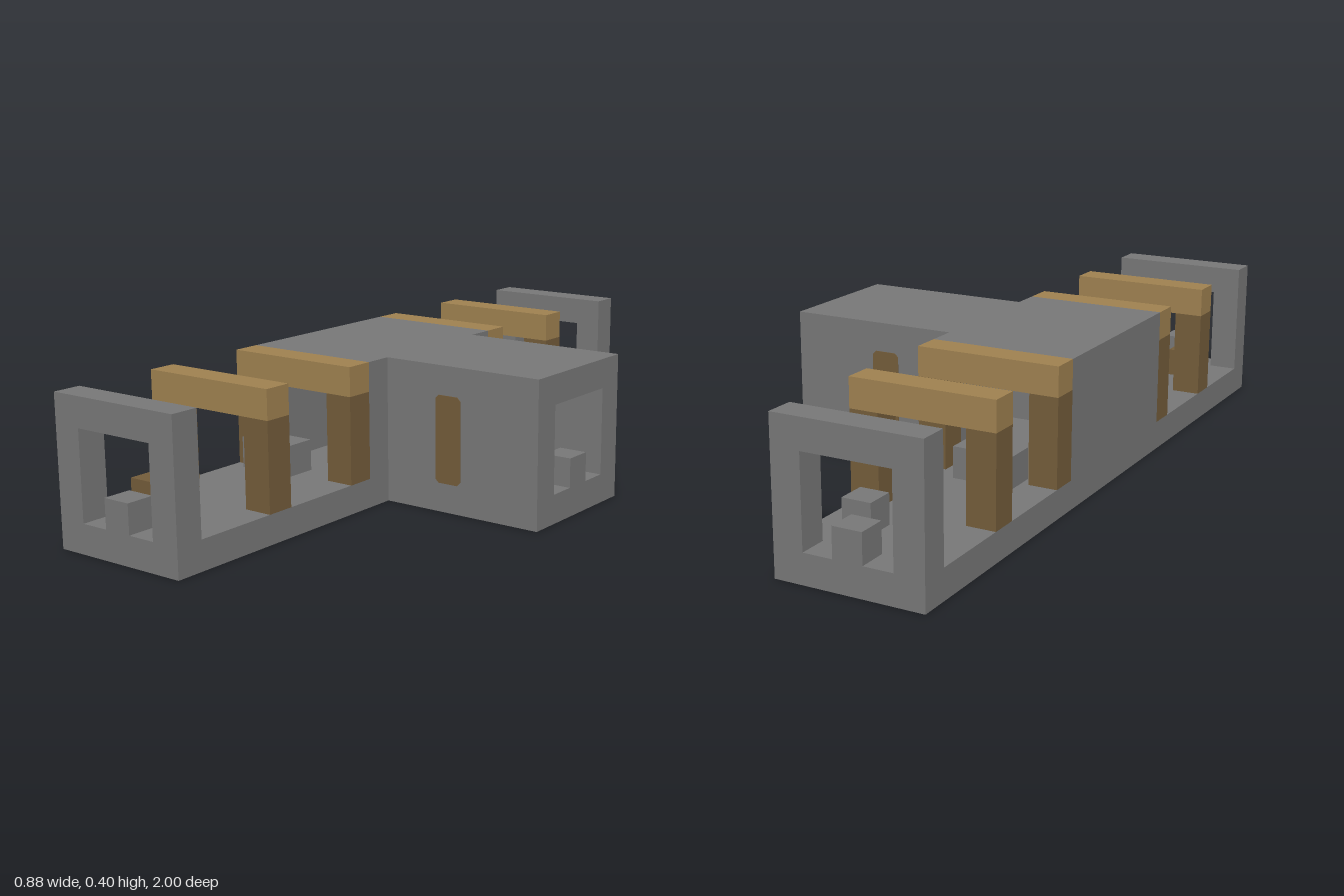
import * as THREE from 'three';

const stone = new THREE.MeshStandardMaterial({ name: 'stone grey', color: 0x777777 });
const plank = new THREE.MeshStandardMaterial({ name: 'plank brown', color: 0x9f8150 });
const log = new THREE.MeshStandardMaterial({ name: 'dark log brown', color: 0x735c3a });

const CELL = 0.08;

function polygon(points) {
  return new THREE.Shape(points.map(([x, y]) => new THREE.Vector2(x, y)));
}

export function createModel() {
  const root = new THREE.Group();
  root.name = 'tunnelCrossing';

  function add(name, geometry, material) {
    const mesh = new THREE.Mesh(geometry, material);
    mesh.name = name;
    root.add(mesh);
    return mesh;
  }

  // box given by its minimum and maximum corners
  function box(name, material, x0, x1, y0, y1, z0, z1) {
    const mesh = add(name, new THREE.BoxGeometry(x1 - x0, y1 - y0, z1 - z0), material);
    mesh.position.set((x0 + x1) / 2, (y0 + y1) / 2, (z0 + z1) / 2);
    return mesh;
  }

  // T-shaped slab: corridor along z plus the side branch along +x
  function slab(name, halfLength, y) {
    const shape = polygon([
      [-0.44, -halfLength], [-0.04, -halfLength], [-0.04, -0.2], [0.44, -0.2],
      [0.44, 0.2], [-0.04, 0.2], [-0.04, halfLength], [-0.44, halfLength],
    ]);
    const geometry = new THREE.ExtrudeGeometry(shape, { depth: CELL, bevelEnabled: false });
    geometry.rotateX(-Math.PI / 2);
    add(name, geometry, stone).position.y = y;
  }
  slab('floor', 0.92, 0);
  slab('roof', 0.28, 0.32);

  // outer wall of the covered junction
  box('corridorWall', stone, -0.44, -0.36, 0.08, 0.32, -0.28, 0.28);

  for (const s of [1, -1]) {
    const zBox = (name, material, x0, x1, y0, y1, a, b) =>
      box(name, material, x0, x1, y0, y1, Math.min(s * a, s * b), Math.max(s * a, s * b));

    // junction corner and branch wall
    zBox('cornerWall', stone, -0.12, -0.04, 0.08, 0.32, 0.12, 0.28);
    zBox('branchWall', stone, -0.04, 0.44, 0.08, 0.32, 0.12, 0.2);

    // log column showing on both faces of the branch wall
    const c = 0.01;
    const column = polygon([
      [0.12 + c, 0.08], [0.2 - c, 0.08], [0.2, 0.08 + c], [0.2, 0.32 - c],
      [0.2 - c, 0.32], [0.12 + c, 0.32], [0.12, 0.32 - c], [0.12, 0.08 + c],
    ]);
    const columnGeometry = new THREE.ExtrudeGeometry(column, { depth: 0.084, bevelEnabled: false });
    add('wallColumn', columnGeometry, log).position.z = s * 0.16 - 0.042;

    // square frame at the corridor end, with a block on its sill
    const ring = polygon([[-0.44, 0], [-0.04, 0], [-0.04, 0.4], [-0.44, 0.4]]);
    ring.holes.push(polygon([[-0.36, 0.08], [-0.36, 0.32], [-0.12, 0.32], [-0.12, 0.08]]));
    const ringGeometry = new THREE.ExtrudeGeometry(ring, { depth: CELL, bevelEnabled: false });
    add('endFrame', ringGeometry, stone).position.z = s > 0 ? 0.92 : -1;
    zBox('sillBlock', stone, -0.28, -0.2, 0.08, 0.16, 0.92, 1);

    // timber arches
    for (const z of [0.28, 0.6]) {
      zBox('archBeam', plank, -0.44, -0.04, 0.32, 0.4, z, z + CELL);
      for (const x of [-0.44, -0.12]) zBox('archPost', log, x, x + CELL, 0.08, 0.32, z, z + CELL);
    }

    // ledge behind the outer arch, on alternate sides
    const ledgeX = s > 0 ? -0.2 : -0.44;
    zBox('ledge', stone, ledgeX, ledgeX + 0.16, 0.16, 0.24, 0.52, 0.6);

    // loose floor block
    const blockX = s > 0 ? -0.36 : -0.2;
    zBox('floorBlock', s > 0 ? log : stone, blockX, blockX + CELL, 0.08, 0.16, 0.76, 0.84);
  }

  // sill block and ledge in the branch
  box('branchSillBlock', stone, 0.36, 0.44, 0.08, 0.16, -0.04, 0.04);
  box('branchLedge', stone, 0.04, 0.12, 0.16, 0.24, -0.12, -0.04);

  return root;
}
